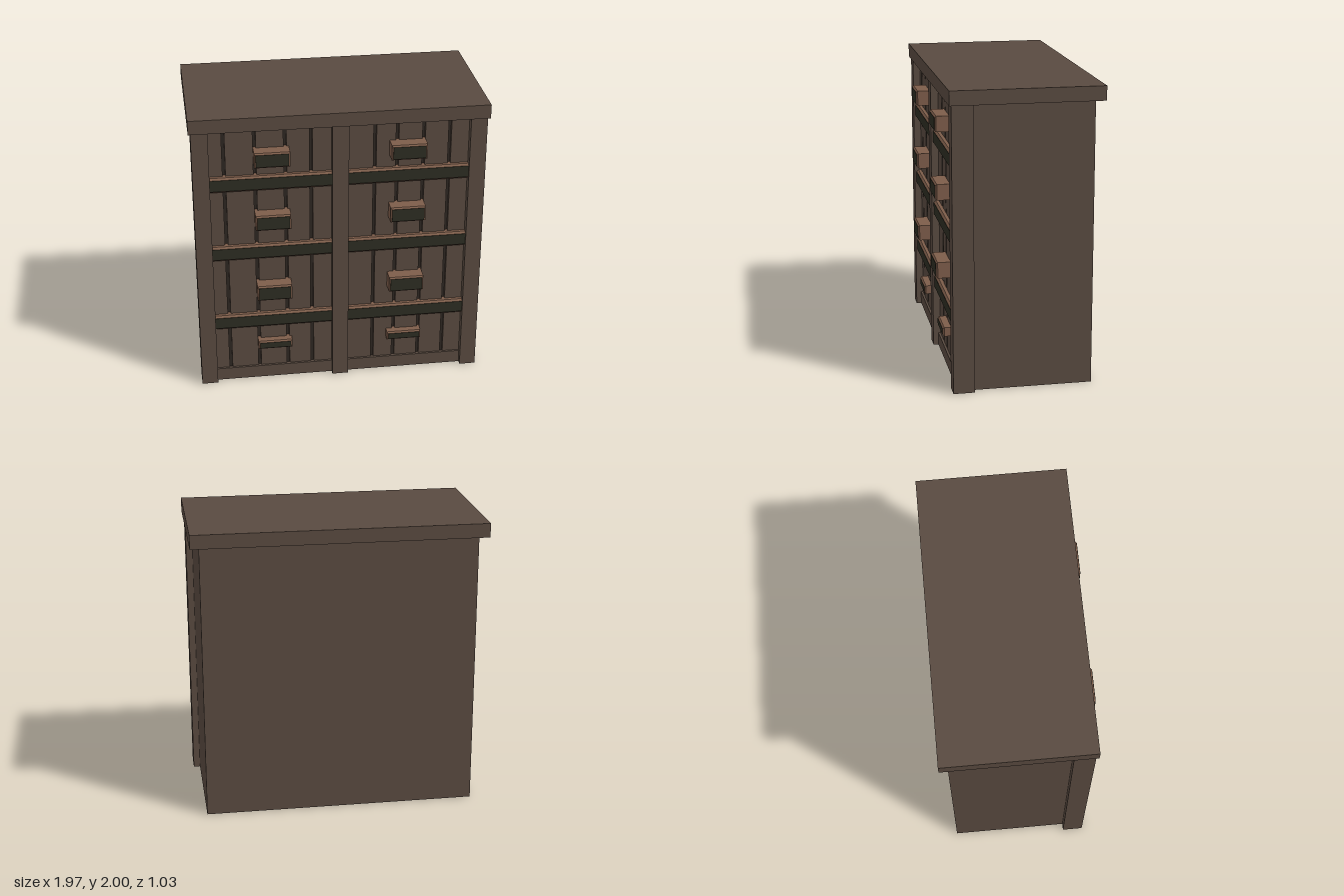
import * as THREE from 'three';

export function createModel() {
  const model = new THREE.Group();
  model.name = 'cabinet';
  const mat = (name, color) => {
    const m = new THREE.MeshStandardMaterial({ color });
    m.name = name;
    return m;
  };
  const wood = mat('weathered wood', 0x594a40);
  const trim = mat('reddish trim', 0x7d5d4a);
  const dark = mat('dark olive face', 0x2d2d22);
  const groove = mat('dark groove', 0x2d2621);

  const add = (name, geometry, material) => {
    const mesh = new THREE.Mesh(geometry, material);
    mesh.name = name;
    model.add(mesh);
    return mesh;
  };

  // Box given by its two extreme corners
  const box = (name, x0, x1, y0, y1, z0, z1, material = wood) => {
    const mesh = add(name, new THREE.BoxGeometry(x1 - x0, y1 - y0, z1 - z0), material);
    mesh.position.set((x0 + x1) / 2, (y0 + y1) / 2, (z0 + z1) / 2);
    return mesh;
  };

  // Block with chamfered ends and a thin dark face on its front
  const facedBlock = (name, x0, x1, y0, y1, z0, z1, c) => {
    const shape = new THREE.Shape([
      new THREE.Vector2(x0 + c, y0 + c), new THREE.Vector2(x1 - c, y0 + c),
      new THREE.Vector2(x1 - c, y1 - c), new THREE.Vector2(x0 + c, y1 - c),
    ]);
    const geometry = new THREE.ExtrudeGeometry(shape, {
      depth: z1 - z0 - 2 * c, bevelEnabled: true, bevelSegments: 1, bevelSize: c, bevelThickness: c,
    });
    geometry.translate(0, 0, z0 + c);
    add(name, geometry, trim);
    box(name + 'Face', x0 + c, x1 - c, y0 + c, y1 - c, z1 - 0.002, z1 + 0.002, dark);
  };

  // Top slab and open-bottomed shell
  box('topSlab', -0.985, 0.985, 1.905, 2, -0.515, 0.485);
  box('backPanel', -0.925, 0.925, 0, 1.905, -0.46, -0.44);
  for (const s of [-1, 1]) {
    const [a, b] = s < 0 ? [-0.925, -0.905] : [0.905, 0.925];
    box('sidePanel', a, b, 0, 1.905, -0.44, 0.34);
    const [p, q] = s < 0 ? [-0.97, -0.86] : [0.86, 0.97];
    box('cornerPost', p, q, 0, 1.905, 0.33, 0.47);
  }

  // Centre post with the divider behind it
  box('centrePost', -0.055, 0.055, 0, 1.905, 0.33, 0.47);
  box('divider', -0.05, 0.05, 0, 1.905, -0.26, 0.33);

  const bays = [
    { x0: -0.86, x1: -0.055, gaps: [-0.762, -0.56, -0.36, -0.19], handle: [-0.57, -0.335] },
    { x0: 0.055, x1: 0.86, gaps: [0.233, 0.382, 0.558, 0.732], handle: [0.33, 0.567] },
  ];
  const railHeights = [[0.42, 0.525], [0.955, 1.06], [1.465, 1.57]];
  const handles = [[0.25, 0.312, 0.477], [0.662, 0.772, 0.517], [1.198, 1.306, 0.517], [1.655, 1.76, 0.517]];
  const half = 0.01;

  for (const bay of bays) {
    // Vertical planks separated by narrow grooves
    const edges = [bay.x0 - half, ...bay.gaps, bay.x1 + half];
    for (let i = 0; i < edges.length - 1; i++) {
      box('plank', edges[i] + half, edges[i + 1] - half, 0.01, 1.9, 0.37, 0.42);
    }
    for (const x of bay.gaps) {
      box('plankGroove', x - half, x + half, 0.01, 1.9, 0.375, 0.4, groove);
    }

    // Frame rails at the top and bottom of the bay
    box('bottomRail', bay.x0, bay.x1, 0, 0.09, 0.41, 0.435);
    box('topRail', bay.x0, bay.x1, 1.893, 1.905, 0.41, 0.435);

    // Deep shelves, their ends housed in the posts
    for (const [y0, y1] of railHeights) {
      facedBlock('shelf', bay.x0 - 0.014, bay.x1 + 0.014, y0, y1, -0.3, 0.455, 0.013);
    }

    // Drawer handles
    for (const [y0, y1, z1] of handles) {
      facedBlock('handle', ...bay.handle, y0, y1, 0.25, z1, 0.01);
    }
  }
  return model;
}
